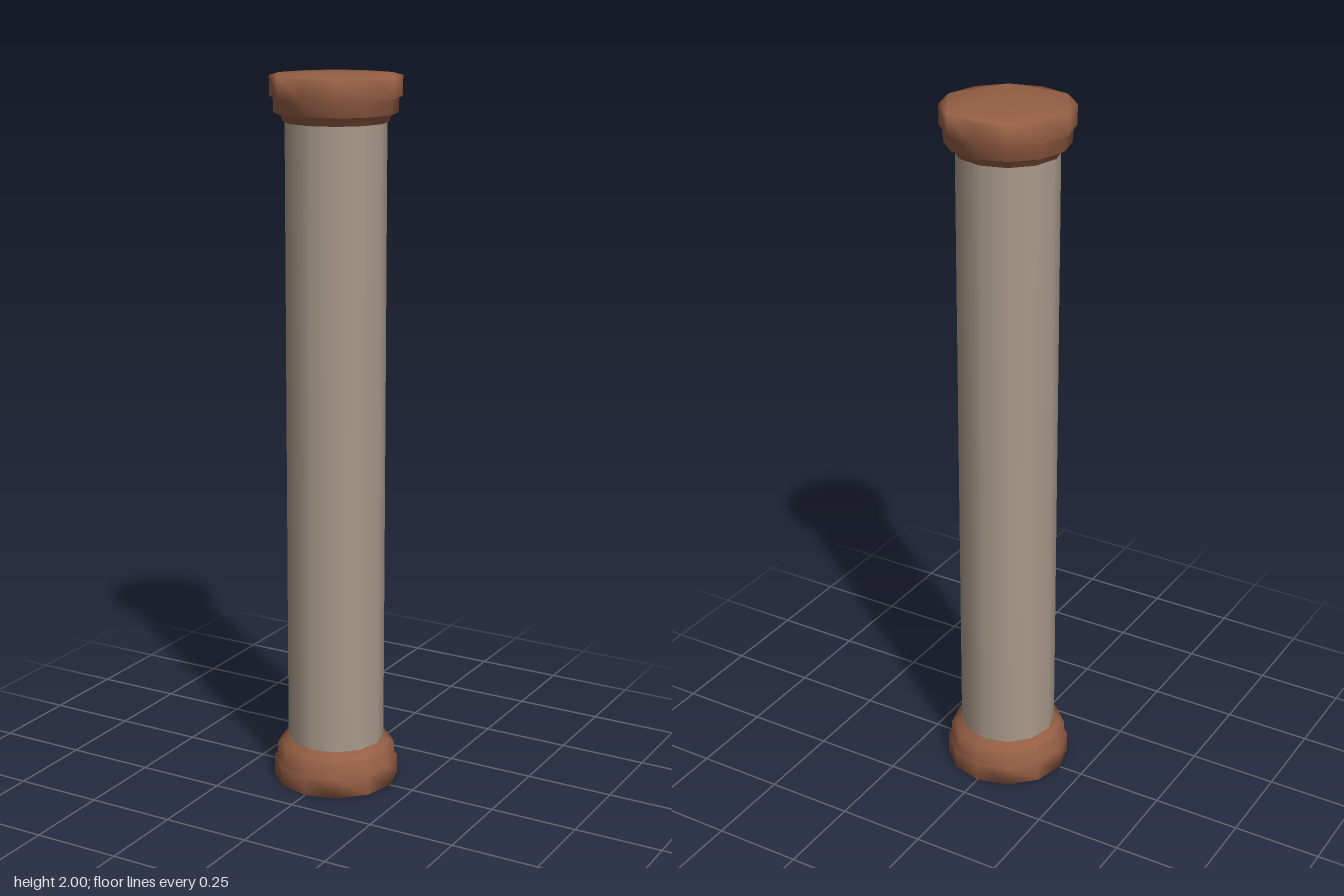
import * as THREE from 'three';
import { mergeGeometries, mergeVertices } from 'three/addons/utils/BufferGeometryUtils.js';

const SIDES = 12;
const HEIGHT = 2;
const END = 0.122; // height of the stepped moulding at each end

// Stepped moulding, from the shaft (y = 0) out to the flat cap (y = END)
function mouldingGeometry() {
  const profile = [
    [0.134, 0], [0.142, 0], [0.15, 0.022], [0.167, 0.024],
    [0.168, 0.065], [0.177, 0.067], [0.178, END],
  ].map(([r, y]) => new THREE.Vector2(r, y));
  const wall = new THREE.LatheGeometry(profile, SIDES);

  // Flat polygon closing the end
  const rim = [];
  for (let i = 0; i < SIDES; i++) {
    const a = (i / SIDES) * Math.PI * 2;
    rim.push(new THREE.Vector2(0.178 * Math.cos(a), 0.178 * Math.sin(a)));
  }
  const cap = new THREE.ShapeGeometry(new THREE.Shape(rim));
  cap.rotateX(-Math.PI / 2).translate(0, END, 0);

  // Weld wall and cap so the shading rolls softly over the edges
  const parts = [wall, cap];
  parts.forEach((g) => { g.deleteAttribute('normal'); g.deleteAttribute('uv'); });
  const welded = mergeVertices(mergeGeometries(parts), 1e-4);
  welded.computeVertexNormals();
  return welded;
}

export function createModel() {
  const stone = new THREE.MeshStandardMaterial({ color: 0xa89a8a });
  stone.name = 'greyStone';
  const clay = new THREE.MeshStandardMaterial({ color: 0x965f45 });
  clay.name = 'brownClay';

  const column = new THREE.Group();
  column.name = 'column';

  // Plain round shaft
  const shaft = new THREE.Mesh(
    new THREE.CylinderGeometry(0.137, 0.137, HEIGHT - 2 * END + 0.01, SIDES, 1, true), stone);
  shaft.name = 'shaft';
  shaft.position.y = HEIGHT / 2;
  column.add(shaft);

  // Capital and its upside-down twin, the base
  const moulding = mouldingGeometry();
  const capital = new THREE.Mesh(moulding, clay);
  capital.name = 'capital';
  capital.position.y = HEIGHT - END;
  const base = new THREE.Mesh(moulding, clay);
  base.name = 'base';
  base.rotation.x = Math.PI;
  base.position.y = END;
  column.add(capital, base);

  return column;
}
